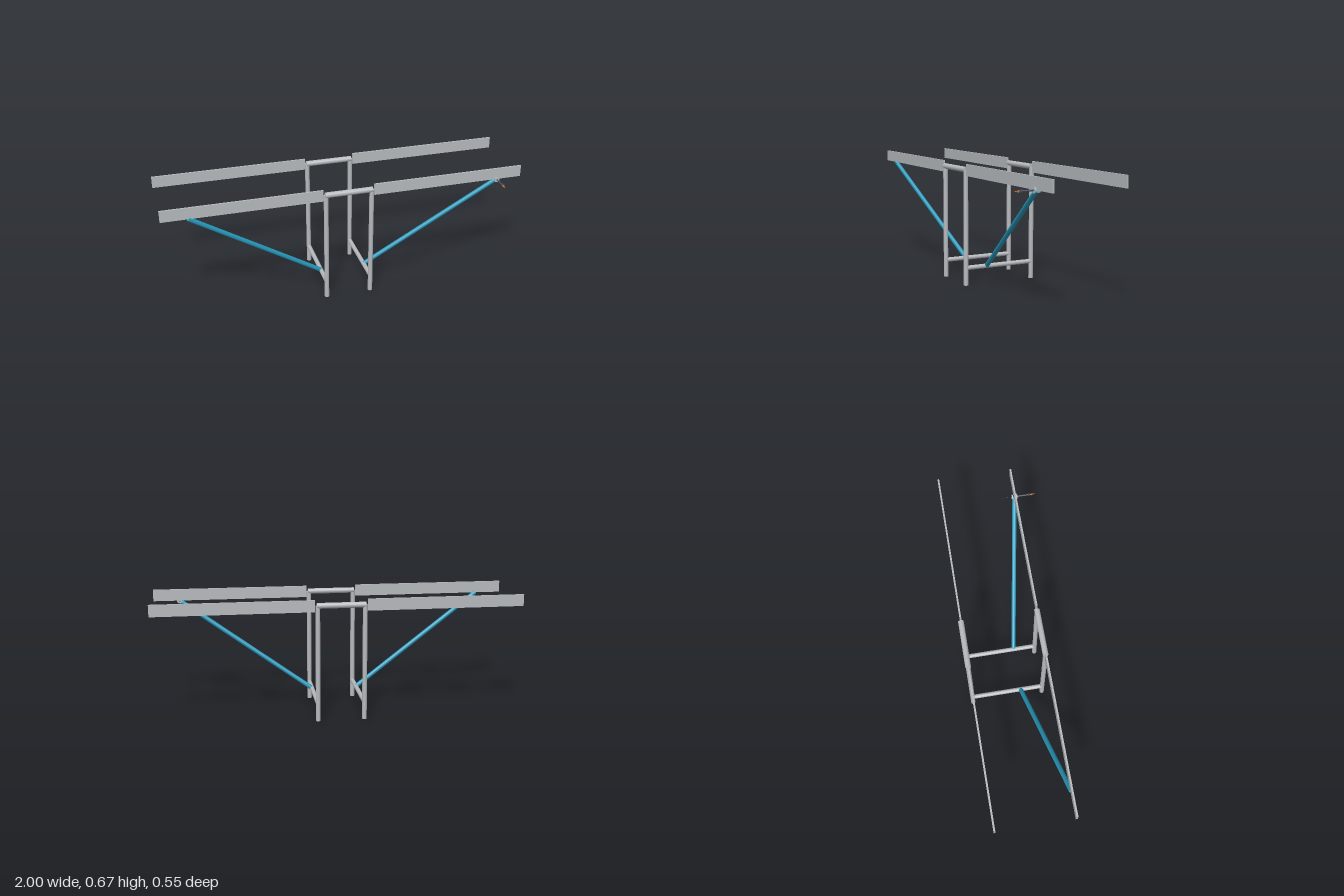
import * as THREE from 'three';

const FRONT_Z = 0.157, BACK_Z = -0.256, LEG_X = 0.127;

function material(name, color) {
  const m = new THREE.MeshStandardMaterial({ color });
  m.name = name;
  return m;
}

export function createModel() {
  const steel = material('steel grey', 0xb6babd);
  const teal = material('teal blue', 0x2799bb);
  const bolt = material('dark bolt metal', 0x4b5663);
  const orange = material('arrow orange', 0xe07a2a);
  const model = new THREE.Group();
  model.name = 'trestleFrame';

  // Round bar between two points
  function bar(parent, name, a, b, r, mat, rEnd = r, sides = 24) {
    const start = new THREE.Vector3(...a), end = new THREE.Vector3(...b);
    const dir = end.clone().sub(start);
    const mesh = new THREE.Mesh(new THREE.CylinderGeometry(rEnd, r, dir.length(), sides), mat);
    mesh.position.copy(start).add(end).multiplyScalar(0.5);
    mesh.quaternion.setFromUnitVectors(new THREE.Vector3(0, 1, 0), dir.normalize());
    mesh.name = name;
    parent.add(mesh);
  }

  // Two portal frames, each with legs, a top bar and outreaching planks
  for (const z of [FRONT_Z, BACK_Z]) {
    bar(model, 'topBar', [-0.132, 0.637, z], [0.132, 0.637, z], 0.0155, steel);
    for (const s of [-1, 1]) {
      bar(model, 'leg', [s * LEG_X, 0, z], [s * LEG_X, 0.637, z], 0.013, steel);
      const plank = new THREE.Mesh(new THREE.BoxGeometry(0.859, 0.064, 0.0098), steel);
      plank.position.set(s * 0.5705, 0.636, z);
      plank.name = 'plank';
      model.add(plank);
    }
  }

  // Lower side rails and the diagonal struts that prop the front planks
  for (const s of [-1, 1]) {
    bar(model, 'sideRail', [s * LEG_X, 0.097, FRONT_Z], [s * LEG_X, 0.097, BACK_Z], 0.0125, steel);
    bar(model, 'strut', [s * LEG_X, 0.097, 0.029], [s * 0.855, 0.603, FRONT_Z], 0.0125, teal);
  }

  // Bolt assembly at the end of the left strut, all along one z axis
  const fastener = new THREE.Group();
  fastener.name = 'boltAssembly';
  fastener.position.set(0.855, 0.604, 0);
  model.add(fastener);
  const along = (name, z0, z1, r, mat, rEnd, sides) =>
    bar(fastener, name, [0, 0, z0], [0, 0, z1], r, mat, rEnd, sides);

  // Washers with a hole for the shank
  const ring = new THREE.Shape().absarc(0, 0, 0.0148, 0, Math.PI * 2);
  ring.holes.push(new THREE.Path().absarc(0, 0, 0.0045, 0, Math.PI * 2, true));
  const washerGeometry = new THREE.ExtrudeGeometry(ring, { depth: 0.007, bevelEnabled: false, curveSegments: 16 });
  for (const z of [0.166, 0.141]) {
    const washer = new THREE.Mesh(washerGeometry, steel);
    washer.position.z = z;
    washer.name = 'washer';
    fastener.add(washer);
  }
  along('boltShank', 0.16, 0.238, 0.0042, bolt, 0.0042, 16);
  along('boltHead', 0.236, 0.243, 0.0085, bolt, 0.0085, 6);

  // Dashed axis line beyond the joint
  for (const z of [0.11, 0.078]) along('axisDash', z, z + 0.015, 0.0009, bolt, 0.0009, 8);

  // Arrow showing the push direction
  along('arrowShaft', 0.274, 0.254, 0.002, orange, 0.002, 12);
  along('arrowHead', 0.255, 0.244, 0.0072, orange, 0, 16);

  return model;
}
